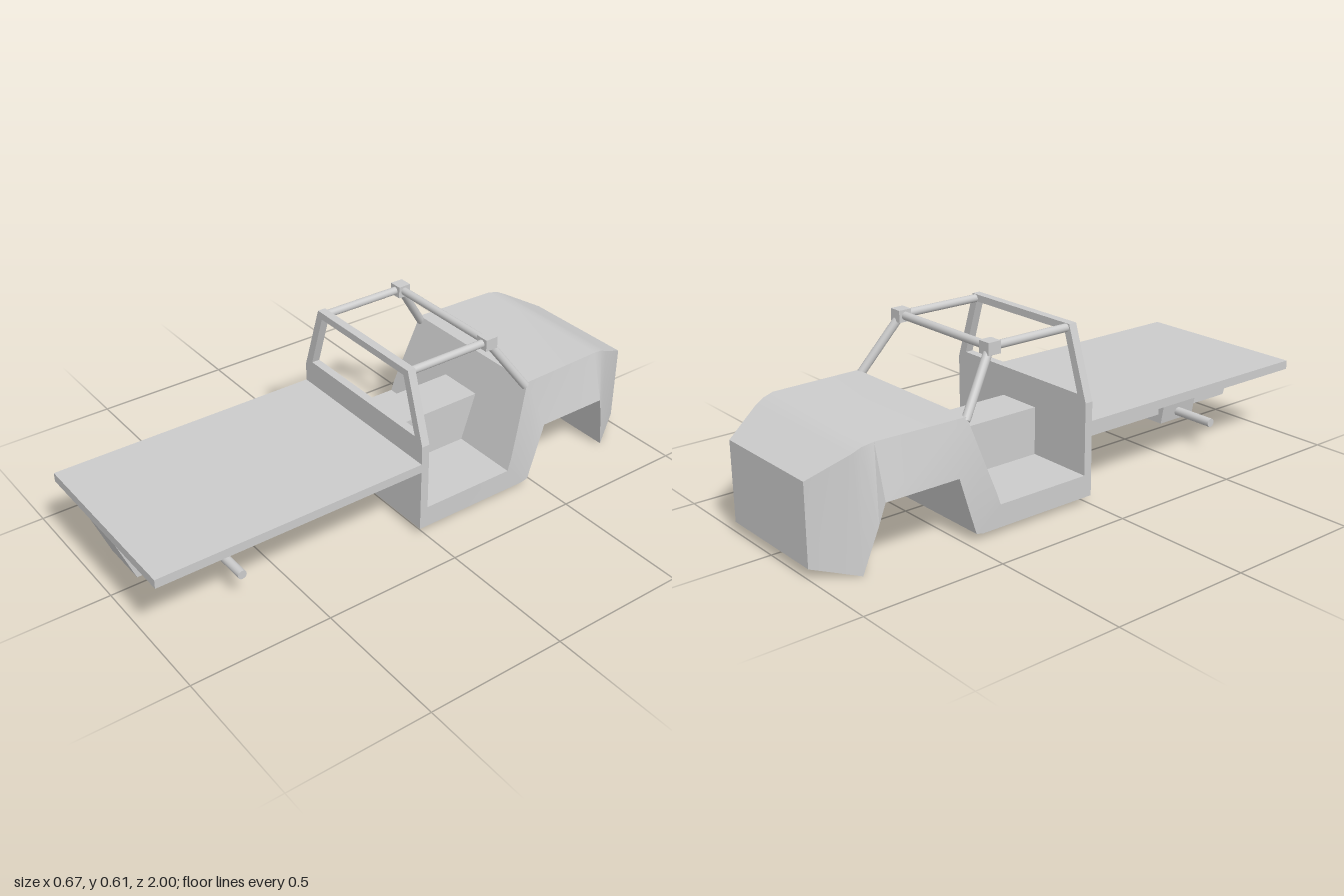
import * as THREE from 'three';
import { toCreasedNormals } from 'three/addons/utils/BufferGeometryUtils.js';

const material = new THREE.MeshStandardMaterial({ color: 0xcccccc, side: THREE.DoubleSide });
const V = (x, y, z) => new THREE.Vector3(x, y, z);

function polygon(points) {
  return new THREE.Shape(points.map(([x, y]) => new THREE.Vector2(x, y)));
}

function extrude(shape, depth) {
  const geometry = new THREE.ExtrudeGeometry(shape, { depth, bevelEnabled: false });
  return geometry.translate(0, 0, -depth / 2);
}

// Round bar between two points
function bar(a, b, radius) {
  const dir = b.clone().sub(a);
  const geometry = new THREE.CylinderGeometry(radius, radius, dir.length(), 16);
  geometry.applyQuaternion(new THREE.Quaternion().setFromUnitVectors(V(0, 1, 0), dir.normalize()));
  const mid = a.clone().add(b).multiplyScalar(0.5);
  return geometry.translate(mid.x, mid.y, mid.z);
}

// Loft four-cornered sections: [topZ, topY, topHalfWidth, bottomZ, bottomY, bottomHalfWidth]
function loft(sections) {
  const positions = [];
  const index = [];
  for (const [tz, ty, tw, bz, by, bw] of sections) {
    positions.push(tw, ty, tz, -tw, ty, tz, -bw, by, bz, bw, by, bz);
  }
  const quad = (a, b, c, d) => index.push(a, b, c, a, c, d);
  for (let i = 0; i < sections.length - 1; i++) {
    for (let k = 0; k < 4; k++) {
      const n = (k + 1) % 4;
      quad(i * 4 + k, i * 4 + 4 + k, i * 4 + 4 + n, i * 4 + n);
    }
  }
  const e = (sections.length - 1) * 4;
  quad(0, 1, 2, 3);
  quad(e + 3, e + 2, e + 1, e);
  const geometry = new THREE.BufferGeometry();
  geometry.setAttribute('position', new THREE.Float32BufferAttribute(positions, 3));
  geometry.setIndex(index);
  return toCreasedNormals(geometry, 0.7);
}

export function createModel() {
  const group = new THREE.Group();
  const add = (name, geometry, x = 0, y = 0, z = 0) => {
    const mesh = new THREE.Mesh(geometry, material);
    mesh.name = name;
    mesh.position.set(x, y, z);
    group.add(mesh);
  };

  // Cab floor, cowl, hood, wheel arches and nose in one shell
  add('cabBody', loft([
    [0, 0.1, 0.333, 0, 0.022, 0.333],
    [-0.37, 0.1, 0.333, -0.44, 0.022, 0.333],
    [-0.385, 0.145, 0.331, -0.467, 0.028, 0.333],
    [-0.42, 0.25, 0.317, -0.49, 0.1, 0.333],
    [-0.47, 0.405, 0.295, -0.53, 0.23, 0.333],
    [-0.8, 0.405, 0.285, -0.8, 0.23, 0.333],
    [-0.84, 0.396, 0.278, -0.82, 0.16, 0.325],
    [-0.87, 0.381, 0.272, -0.865, 0, 0.298],
    [-1, 0.312, 0.215, -1, 0.035, 0.215],
  ]));

  // Rear wall of the cab with its window opening
  const wall = polygon([[-0.333, 0.022], [0.333, 0.022], [0.333, 0.352], [0.25, 0.6], [-0.25, 0.6], [-0.333, 0.352]]);
  wall.holes.push(polygon([[-0.293, 0.375], [-0.228, 0.575], [0.228, 0.575], [0.293, 0.375]]));
  add('cabRearWall', extrude(wall, 0.03));

  // Flat load bed
  add('loadBed', new THREE.BoxGeometry(0.666, 0.032, 0.985), 0, 0.269, 0.5075);

  // Central chassis beam, running on through the cab as a tunnel
  const beam = polygon([[1, 0.253], [0.94, 0.1], [-0.88, 0.1], [-0.88, 0.27], [0, 0.27], [0, 0.253]]);
  add('chassisBeam', extrude(beam, 0.166).rotateY(-Math.PI / 2));

  // Axle housing and axle
  const housing = polygon([[-0.13, 0.253], [-0.097, 0.068], [0.097, 0.068], [0.13, 0.253]]);
  add('axleHousing', extrude(housing, 0.165), 0, 0, 0.67);
  add('axle', bar(V(-0.267, 0.1, 0.67), V(0.267, 0.1, 0.67), 0.016));

  // Roof frame: side rails, front pillars, corner blocks and cross bar
  for (const [side, s] of [['left', 1], ['right', -1]]) {
    const corner = V(s * 0.235, 0.585, -0.33);
    add(side + 'RoofRail', bar(V(s * 0.235, 0.585, 0), corner, 0.014));
    add(side + 'FrontPillar', bar(V(s * 0.287, 0.39, -0.468), corner, 0.015));
    add(side + 'CornerBlock', new THREE.BoxGeometry(0.048, 0.042, 0.048), corner.x, corner.y, corner.z);
  }
  add('roofCrossBar', bar(V(-0.235, 0.585, -0.33), V(0.235, 0.585, -0.33), 0.014));

  return group;
}
